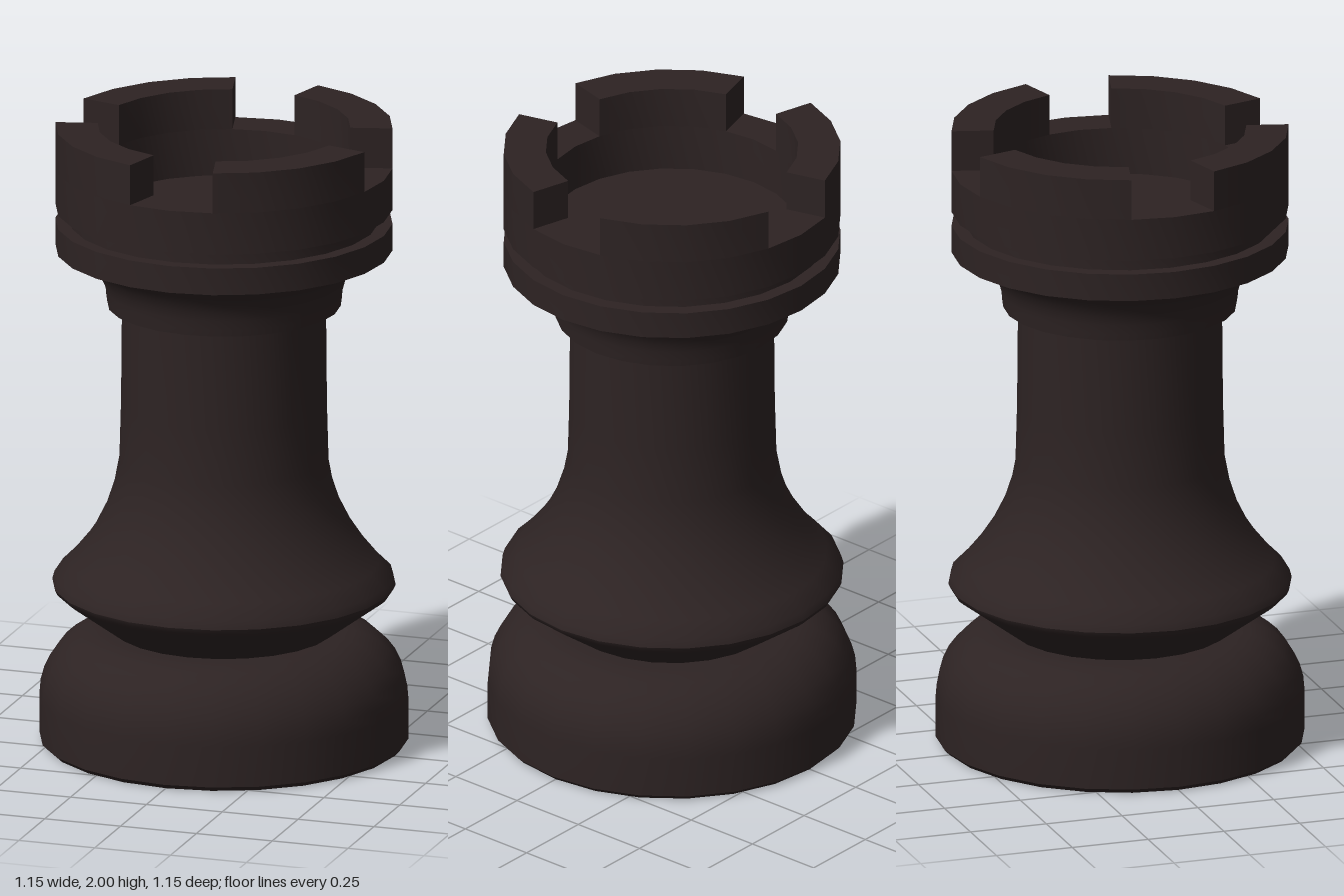
import * as THREE from 'three';
import { toCreasedNormals } from 'three/addons/utils/BufferGeometryUtils.js';

const SIDES = 24;
const CREASE = 0.6;
const STEP = (Math.PI * 2) / SIDES;

export function createModel() {
  const group = new THREE.Group();
  const wood = new THREE.MeshStandardMaterial({ color: 0x2d2323 });
  wood.name = 'dark wood';

  const add = (name, geometry) => {
    const mesh = new THREE.Mesh(toCreasedNormals(geometry, CREASE), wood);
    mesh.name = name;
    group.add(mesh);
    return mesh;
  };
  // Turned part from [radius, height] points, bottom to top
  const turned = (name, profile) =>
    add(name, new THREE.LatheGeometry(profile.map(([r, y]) => new THREE.Vector2(r, y)), SIDES));

  // Quarter-round foot with a small bevel below
  const shoulder = [];
  for (let i = 0; i <= 8; i++) {
    const a = (i / 8) * Math.PI / 2;
    shoulder.push([0.377 + 0.2 * Math.cos(a), 0.145 + 0.22 * Math.sin(a)]);
  }
  turned('base', [[0, 0], [0.562, 0], [0.577, 0.015], ...shoulder, [0, 0.365]]);

  // Flared skirt and straight column
  turned('column', [
    [0.34, 0.36], [0.515, 0.488], [0.53, 0.5], [0.537, 0.515], [0.53, 0.54],
    [0.485, 0.585], [0.44, 0.64], [0.4, 0.7], [0.365, 0.77], [0.342, 0.84],
    [0.327, 0.92], [0.322, 1.1], [0.319, 1.43],
  ]);

  // Hollow flare under the head
  const cove = [];
  for (let i = 0; i <= 8; i++) {
    const a = (i / 8) * Math.PI / 2;
    cove.push([0.51 - 0.142 * Math.cos(a), 1.44 + 0.16 * Math.sin(a)]);
  }
  // Head with a groove round it and a sunken floor
  turned('head', [
    [0.31, 1.42], [0.365, 1.42], ...cove, [0.527, 1.603],
    [0.527, 1.69], [0.483, 1.69], [0.483, 1.735], [0.527, 1.735],
    [0.527, 1.87], [0.395, 1.87], [0.395, 1.72], [0, 1.72],
  ]);

  // Four battlements, each a 60 degree ring sector
  for (let k = 0; k < 4; k++) {
    const points = [];
    const arc = (r, i) => {
      const a = (k * 6 + 1 + i) * STEP;
      points.push(new THREE.Vector2(r * Math.cos(a), r * Math.sin(a)));
    };
    for (let i = 0; i <= 4; i++) arc(0.527, i);
    for (let i = 4; i >= 0; i--) arc(0.395, i);
    const geometry = new THREE.ExtrudeGeometry(new THREE.Shape(points), { depth: 0.13, bevelEnabled: false });
    geometry.rotateX(-Math.PI / 2).translate(0, 1.87, 0);
    add('battlement', geometry);
  }

  return group;
}
